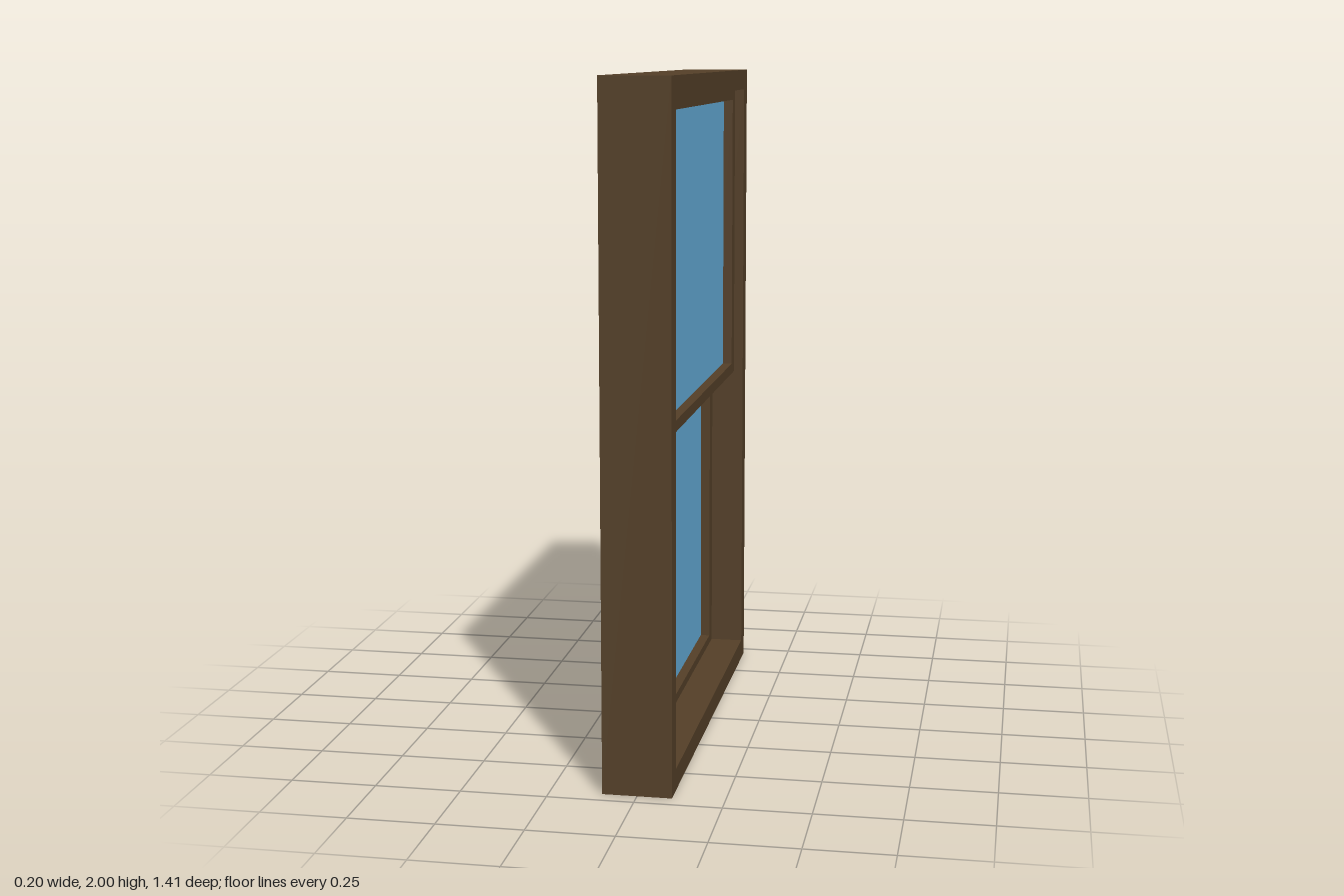
import * as THREE from 'three';

const wood = new THREE.MeshStandardMaterial({ color: 0x554028 });
const glass = new THREE.MeshStandardMaterial({ color: 0x66aedb });

// Rectangular ring in the z-y plane, running from x0 to x1.
// Rectangles are { z0, z1, y0, y1 }.
function ring(name, outer, inner, x0, x1) {
  const corners = ({ z0, z1, y0, y1 }) =>
    [[-z0, y0], [-z0, y1], [-z1, y1], [-z1, y0]].map(([u, v]) => new THREE.Vector2(u, v));
  const shape = new THREE.Shape(corners(outer));
  shape.holes.push(new THREE.Path(corners(inner)));
  const geometry = new THREE.ExtrudeGeometry(shape, { depth: x1 - x0, bevelEnabled: false });
  geometry.rotateY(Math.PI / 2).translate(x0, 0, 0);
  const mesh = new THREE.Mesh(geometry, wood);
  mesh.name = name;
  return mesh;
}

// Sash: wooden surround with a thin pane set in the middle of its depth
function sash(name, outer, inner, x0, x1) {
  const group = new THREE.Group();
  group.name = name;
  group.add(ring(name + 'Surround', outer, inner, x0, x1));
  const pane = new THREE.Mesh(
    new THREE.BoxGeometry(0.008, inner.y1 - inner.y0, inner.z1 - inner.z0), glass);
  pane.position.set((x0 + x1) / 2, (inner.y0 + inner.y1) / 2, (inner.z0 + inner.z1) / 2);
  pane.name = name + 'Pane';
  group.add(pane);
  return group;
}

export function createModel() {
  const model = new THREE.Group();
  model.name = 'sashWindow';

  // Outer frame
  const opening = { z0: -0.642, z1: 0.636, y0: 0.063, y1: 1.937 };
  model.add(ring('outerFrame', { z0: -0.703, z1: 0.703, y0: 0, y1: 2 }, opening, -0.1, 0.1));

  // Two sliding sashes in neighbouring tracks, meeting at mid height
  model.add(sash('upperSash', { ...opening, y0: 1 },
    { z0: -0.591, z1: 0.613, y0: 1.033, y1: 1.904 }, 0.003, 0.07));
  model.add(sash('lowerSash', { ...opening, y1: 1 },
    { z0: -0.591, z1: 0.613, y0: 0.09, y1: 0.963 }, -0.07, -0.003));

  return model;
}
